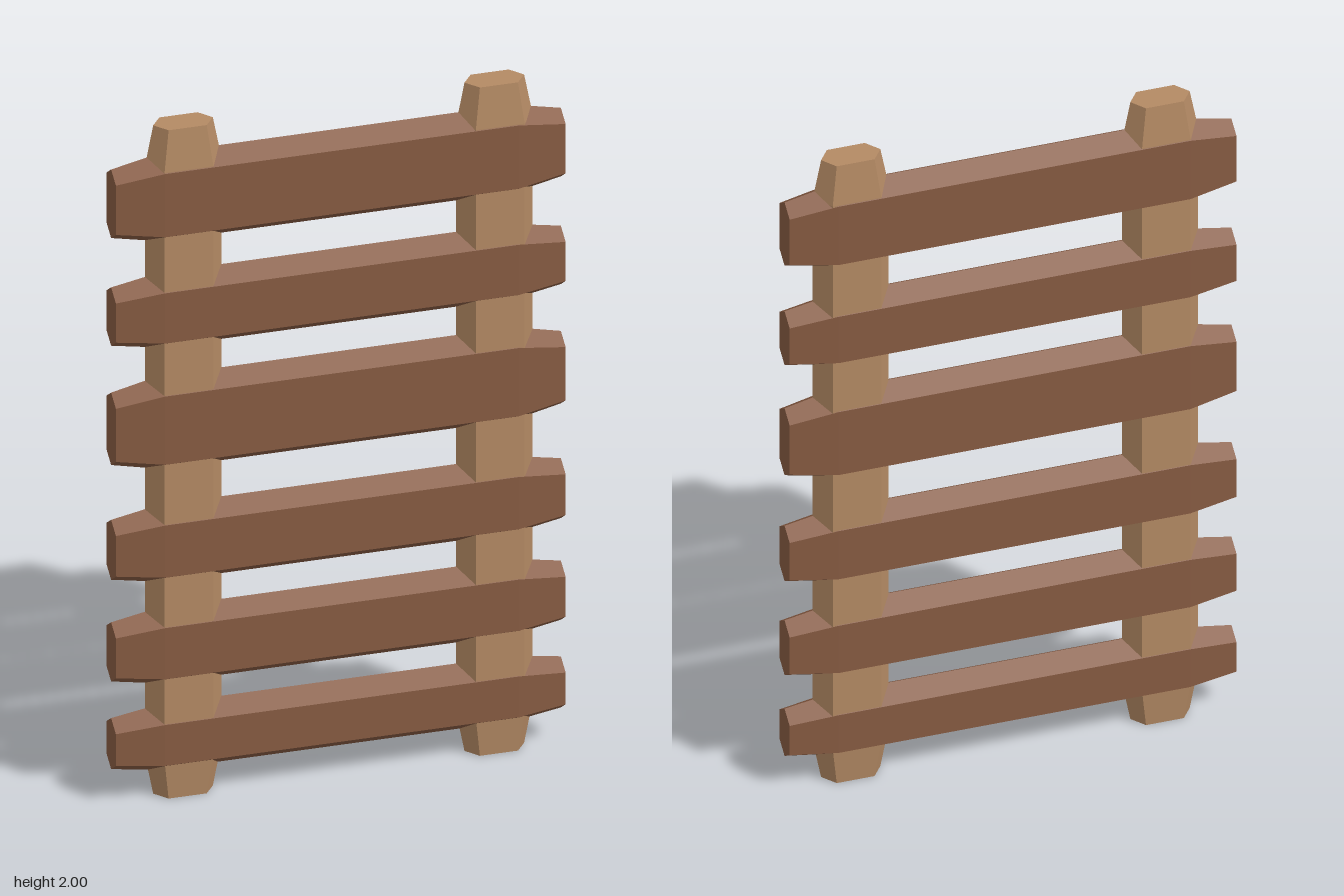
import * as THREE from 'three';

// Six-sided beam along y: ridges at +-half in x, flat faces at +-depth in z,
// with both ends tapering about the axis.
function beamGeometry(length, half, inset, depth, taperLength, taper) {
  const geo = new THREE.CylinderGeometry(1, 1, 1, 6, 3, false, Math.PI / 2);
  const pos = geo.attributes.position;
  for (let i = 0; i < pos.count; i++) {
    const x = pos.getX(i), y = pos.getY(i), z = pos.getZ(i);
    const isEnd = Math.abs(y) > 0.4;
    const s = isEnd ? taper : 1;
    const w = Math.abs(x) > 0.9 ? half : Math.abs(x) > 0.4 ? half - inset : 0;
    const d = Math.abs(z) > 0.4 ? depth : 0;
    pos.setXYZ(i,
      Math.sign(x) * w * s,
      Math.sign(y) * (length / 2 - (isEnd ? 0 : taperLength)),
      Math.sign(z) * d * s);
  }
  const flat = geo.toNonIndexed();
  flat.computeVertexNormals();
  return flat;
}

export function createModel() {
  const group = new THREE.Group();
  const slatWood = new THREE.MeshStandardMaterial({ color: 0x875b42 });
  slatWood.name = 'darkWood';
  const postWood = new THREE.MeshStandardMaterial({ color: 0xb48a64 });
  postWood.name = 'lightWood';

  // Two upright posts
  for (const [name, x] of [['rightPost', -0.432], ['leftPost', 0.447]]) {
    const post = new THREE.Mesh(beamGeometry(2, 0.108, 0.039, 0.0535, 0.12, 0.78), postWood);
    post.name = name;
    post.position.set(x, 1, 0);
    group.add(post);
  }

  // Cross slats, bottom to top: [lower ridge, upper ridge]
  const slats = [
    [0.069, 0.265], [0.328, 0.555], [0.632, 0.862],
    [0.97, 1.248], [1.333, 1.557], [1.651, 1.914],
  ];
  slats.forEach(([low, high], i) => {
    const slat = new THREE.Mesh(
      beamGeometry(1.27, (high - low) / 2, 0.037, 0.055, 0.135, 0.78), slatWood);
    slat.name = `slat${i + 1}`;
    slat.rotation.z = Math.PI / 2;
    slat.position.y = (low + high) / 2;
    group.add(slat);
  });

  return group;
}
